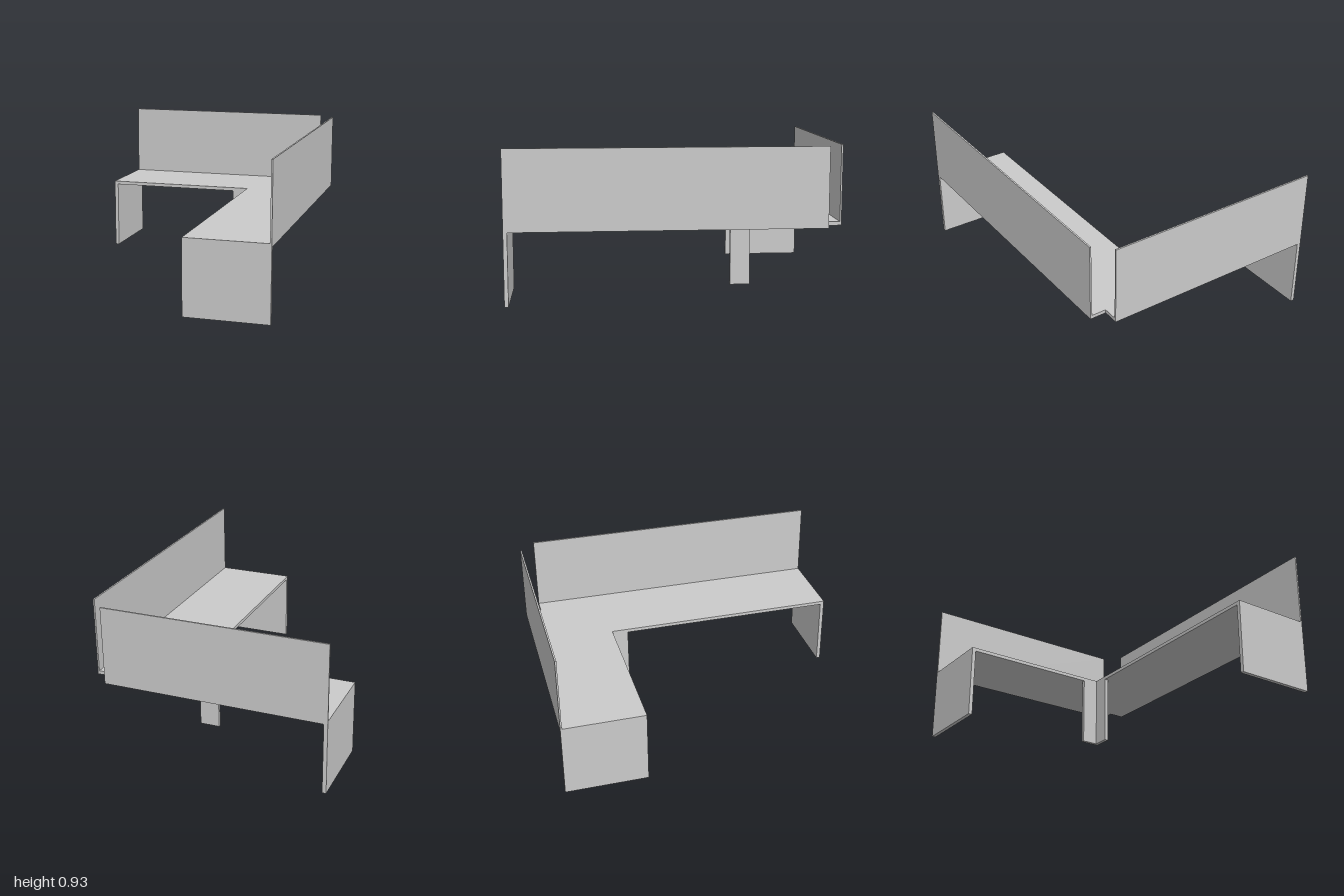
import * as THREE from 'three';

export function createModel() {
  const group = new THREE.Group();
  group.name = 'cornerDesk';
  const material = new THREE.MeshStandardMaterial({ color: 0xcccccc, flatShading: true });

  const under = 0.44, top = 0.462, screenTop = 0.925;

  // Box given by its limits on each axis
  function panel(name, x0, x1, y0, y1, z0, z1) {
    const mesh = new THREE.Mesh(new THREE.BoxGeometry(x1 - x0, y1 - y0, z1 - z0), material);
    mesh.position.set((x0 + x1) / 2, (y0 + y1) / 2, (z0 + z1) / 2);
    mesh.name = name;
    group.add(mesh);
  }

  // L-shaped worktop with a cable notch at the outer corner, drawn as (x, -z)
  const outline = [
    [-0.744, -0.99], [0.64, -0.99], [0.64, -0.9], [0.732, -0.9],
    [0.732, 1], [0.23, 1], [0.23, -0.49], [-0.744, -0.49],
  ];
  const shape = new THREE.Shape(outline.map(([x, z]) => new THREE.Vector2(x, -z)));
  const topGeometry = new THREE.ExtrudeGeometry(shape, { depth: top - under, bevelEnabled: false });
  topGeometry.rotateX(-Math.PI / 2);
  const worktop = new THREE.Mesh(topGeometry, material);
  worktop.position.y = under;
  worktop.name = 'worktop';
  group.add(worktop);

  // Privacy screens along the two outer edges
  panel('backScreen', -0.744, 0.64, under, screenTop, -1, -0.99);
  panel('sideScreen', 0.732, 0.742, under, screenTop, -0.9, 1);

  // Full-depth end panels
  panel('backWingEndPanel', -0.744, -0.72, 0, under, -1, -0.49);
  panel('frontWingEndPanel', 0.23, 0.742, 0, under, 0.976, 1);

  // Angled leg under the inner corner
  panel('cornerLegBack', 0.128, 0.254, 0, under, -0.512, -0.49);
  panel('cornerLegSide', 0.23, 0.254, 0, under, -0.49, -0.386);

  return group;
}
